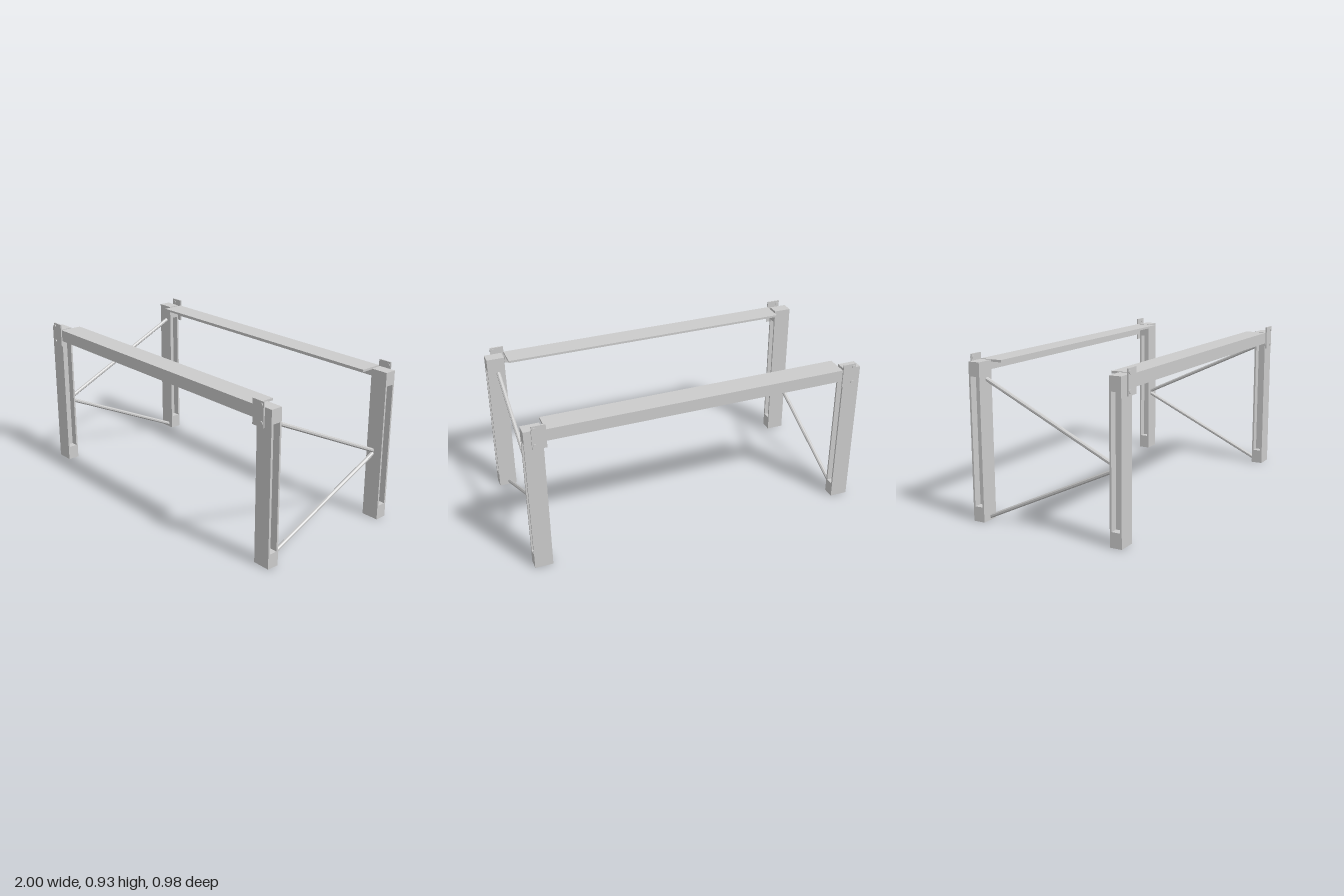
import * as THREE from 'three';

const grey = new THREE.MeshStandardMaterial({ color: 0xcccccc });
const flat = new THREE.MeshStandardMaterial({ color: 0xcccccc, flatShading: true });

function add(parent, name, geometry, x, y, z, material = grey) {
  const mesh = new THREE.Mesh(geometry, material);
  mesh.name = name;
  mesh.position.set(x, y, z);
  parent.add(mesh);
  return mesh;
}

function rectangle(Type, x0, y0, x1, y1) {
  const p = new Type();
  p.moveTo(x0, y0);
  p.lineTo(x1, y0);
  p.lineTo(x1, y1);
  p.lineTo(x0, y1);
  p.closePath();
  return p;
}

// Post with a long pocket on both side faces, divided by a thin web
function createPost() {
  const post = new THREE.Group();
  post.name = 'post';
  const outline = rectangle(THREE.Shape, -0.035, 0, 0.035, 0.89);
  outline.holes.push(rectangle(THREE.Path, -0.024, 0.085, 0.024, 0.81));
  const frame = new THREE.ExtrudeGeometry(outline, { depth: 0.105, bevelEnabled: false });
  frame.translate(0, 0, -0.0525).rotateY(Math.PI / 2);
  add(post, 'postFrame', frame, 0, 0, 0);
  add(post, 'postWeb', new THREE.BoxGeometry(0.015, 0.725, 0.048), 0, 0.4475, 0);
  return post;
}

// Eight-sided diagonal rod between two points
function addBrace(parent, from, to) {
  const axis = to.clone().sub(from);
  const geometry = new THREE.CylinderGeometry(0.012, 0.012, axis.length(), 8);
  geometry.rotateY(Math.PI / 8);
  const mid = from.clone().add(to).multiplyScalar(0.5);
  const brace = add(parent, 'brace', geometry, mid.x, mid.y, mid.z, flat);
  brace.rotation.x = Math.atan2(axis.z, axis.y);
}

// One end frame: two posts and a zigzag of two braces
function createEndFrame() {
  const frame = new THREE.Group();
  frame.name = 'endFrame';
  for (const z of [-0.435, 0.435]) {
    const post = createPost();
    post.position.set(0.9475, 0, z);
    frame.add(post);
  }
  const at = (y, z) => new THREE.Vector3(0.937, y, z);
  addBrace(frame, at(0.793, 0.402), at(0.413, -0.402));
  addBrace(frame, at(0.395, -0.402), at(0.02, 0.402));
  return frame;
}

// Angle-section beam with bolted end plates
function createBeam() {
  const beam = new THREE.Group();
  beam.name = 'beam';
  add(beam, 'topFlange', new THREE.BoxGeometry(1.76, 0.013, 0.134), 0, 0.8835, 0.413);
  add(beam, 'frontFlange', new THREE.BoxGeometry(1.76, 0.07, 0.01), 0, 0.855, 0.475);
  for (const side of [-1, 1]) {
    add(beam, 'endPlate', new THREE.BoxGeometry(0.08, 0.14, 0.008), side * 0.92, 0.855, 0.483);
    for (const y of [0.808, 0.905]) {
      const bolt = new THREE.CylinderGeometry(0.011, 0.011, 0.016, 12).rotateX(Math.PI / 2);
      add(beam, 'bolt', bolt, side * 0.945, y, 0.484);
    }
  }
  return beam;
}

export function createModel() {
  const model = new THREE.Group();
  model.name = 'rack';
  // Each half is repeated by a half turn
  for (const turn of [0, Math.PI]) {
    const half = new THREE.Group();
    half.name = turn ? 'backHalf' : 'frontHalf';
    half.add(createEndFrame(), createBeam());
    half.rotation.y = turn;
    model.add(half);
  }
  return model;
}
